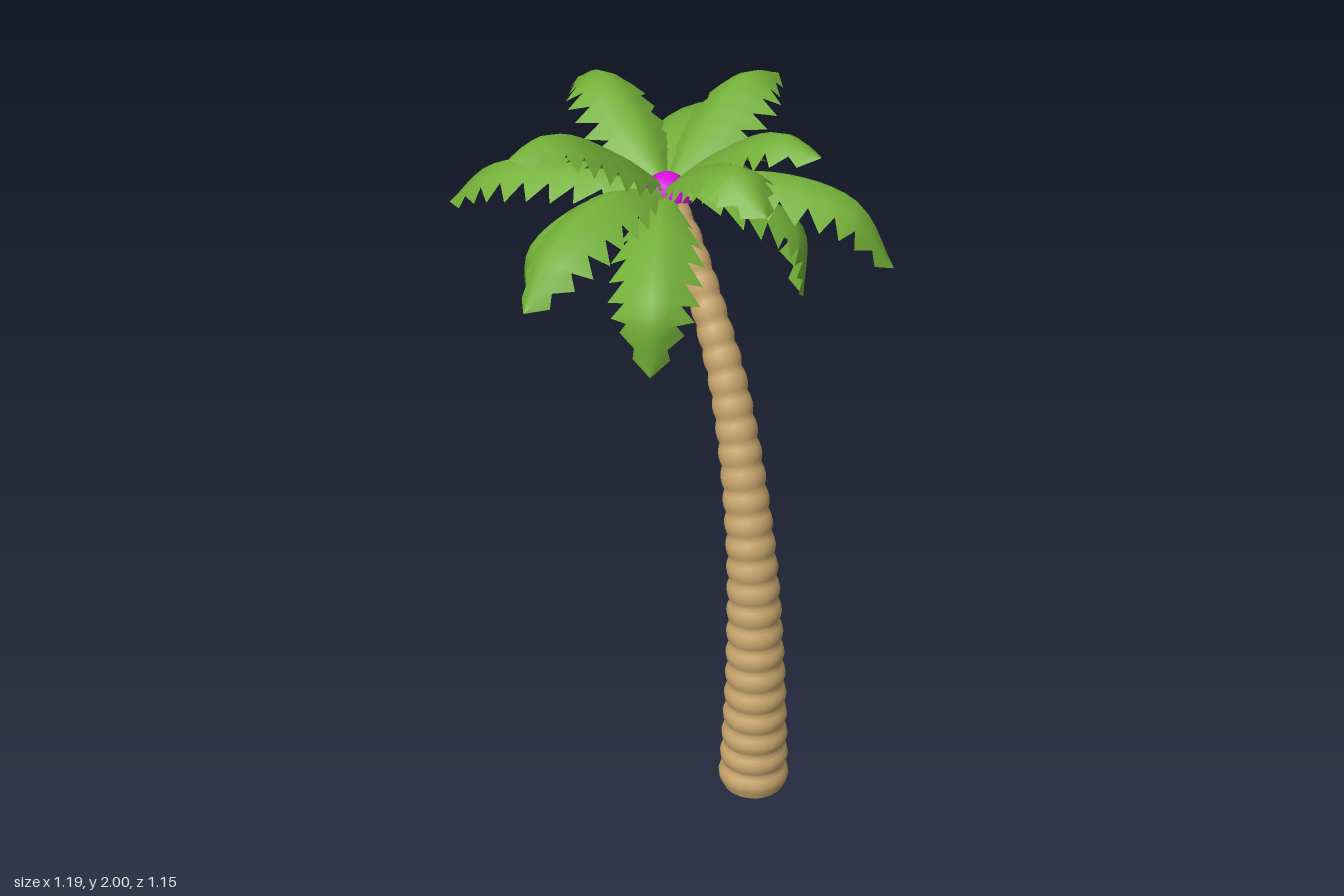
import * as THREE from 'three';
import { mergeVertices } from 'three/addons/utils/BufferGeometryUtils.js';

const V = (x, y, z) => new THREE.Vector3(x, y, z);
const CROWN = V(0.015, 1.73, -0.008);

// Leaning trunk: an open tapered tube swollen into stacked rings
function trunkGeometry() {
  const curve = new THREE.CatmullRomCurve3([
    V(0.489, 0, 0.14), V(0.469, 0.4, 0.12), V(0.42, 0.8, 0.096),
    V(0.313, 1.2, 0.06), V(0.225, 1.4, 0.04), V(0.11, 1.6, 0.015), V(0.035, 1.69, 0),
  ]);
  const rings = 26, steps = rings * 6, sides = 20;
  const geo = new THREE.TubeGeometry(curve, steps, 1, sides);
  const pos = geo.attributes.position, p = V(0, 0, 0);
  for (let i = 0; i <= steps; i++) {
    const t = i / steps, c = curve.getPointAt(t);
    const taper = 0.043 + 0.06 * Math.pow(1 - t, 1.35);
    const r = taper * (0.89 + 0.13 * Math.abs(Math.sin(Math.PI * rings * t)));
    for (let j = 0; j <= sides; j++) {
      const k = i * (sides + 1) + j;
      p.fromBufferAttribute(pos, k).sub(c).multiplyScalar(r).add(c);
      pos.setXYZ(k, p.x, i === 0 ? 0 : Math.max(0, p.y), p.z);
    }
  }
  geo.deleteAttribute('uv');
  geo.deleteAttribute('normal');
  const merged = mergeVertices(geo, 1e-5);
  merged.computeVertexNormals();
  return merged;
}

// Half width of a frond along its length
const WIDTHS = [[0, 0.025], [0.1, 0.045], [0.2, 0.09], [0.32, 0.115], [0.6, 0.112], [0.77, 0.095], [0.94, 0.048], [1, 0.003]];
function halfWidth(u) {
  const i = Math.max(1, WIDTHS.findIndex(([v]) => u <= v));
  const [a, wa] = WIDTHS[i - 1], [b, wb] = WIDTHS[i];
  return wa + (wb - wa) * (u - a) / (b - a);
}

// Arched frond with drooping sides and forward pointing teeth
function frondGeometry(tip, [r1, y1, r2, y2]) {
  const along = (r, y) => V(CROWN.x + (tip.x - CROWN.x) * r, y, CROWN.z + (tip.z - CROWN.z) * r);
  const curve = new THREE.CatmullRomCurve3([CROWN, along(r1, y1), along(r2, y2), tip]);
  const side = V(tip.z - CROWN.z, 0, CROWN.x - tip.x).normalize();
  const rows = 18, cols = [-1, -0.45, 0, 0.45, 1];
  const verts = [], index = [];
  for (let i = 0; i <= rows; i++) {
    const u = i / rows, c = curve.getPointAt(u), tangent = curve.getTangentAt(u);
    const up = V(0, 0, 0).crossVectors(tangent, side);
    const tooth = i % 2 === 1, w = halfWidth(u);
    for (const s of cols) {
      // Only the outer edge steps in and out
      const edge = Math.abs(s) === 1;
      const q = s * (edge ? (tooth ? 1.12 : 0.72) : 1), a = Math.abs(q);
      const p = c.clone().addScaledVector(side, q * w)
        .addScaledVector(up, -w * (0.25 * a + 0.35 * a * a))
        .addScaledVector(tangent, edge && tooth ? 0.024 * (1 - u * u) : 0);
      verts.push(p.x, p.y, p.z);
    }
  }
  const n = cols.length;
  for (let i = 0; i < rows; i++) {
    for (let j = 0; j < n - 1; j++) {
      const a = i * n + j, b = a + 1, d = a + n, e = d + 1;
      index.push(a, d, b, b, d, e);
    }
  }
  const geo = new THREE.BufferGeometry();
  geo.setAttribute('position', new THREE.Float32BufferAttribute(verts, 3));
  geo.setIndex(index);
  geo.computeVertexNormals();
  return geo;
}

export function createModel() {
  const bark = new THREE.MeshStandardMaterial({ color: 0xc6a36b, side: THREE.DoubleSide });
  bark.name = 'bark';
  const leaf = new THREE.MeshStandardMaterial({ color: 0x73af38, side: THREE.DoubleSide });
  leaf.name = 'leafGreen';
  const magenta = new THREE.MeshStandardMaterial({ color: 0xd80ee0 });
  magenta.name = 'magenta';

  const model = new THREE.Group();
  model.name = 'palmTree';
  const add = (name, geo, mat, parent = model) => {
    const mesh = new THREE.Mesh(geo, mat);
    mesh.name = name;
    parent.add(mesh);
    return mesh;
  };

  add('trunk', trunkGeometry(), bark);

  // Core where the fronds meet
  const core = add('crownCore', new THREE.SphereGeometry(0.068, 10, 8), magenta);
  core.position.set(0.015, 1.702, -0.008);

  // Arch shapes: radial fraction and height of two middle points
  const high = [0.33, 1.88, 0.72, 1.995];
  const mid = [0.35, 1.86, 0.72, 1.93];
  const droop = [0.53, 1.7, 0.98, 1.56];
  const fronds = [
    // Raised fronds
    [0.53, 1.965, -0.02, high], [-0.06, 1.965, 0.52, high],
    [0.5, 1.85, 0.16, mid], [-0.485, 1.86, -0.19, mid], [0.02, 1.92, -0.48, [0.35, 1.87, 0.72, 1.96]],
    // Spreading fronds
    [-0.3, 1.6, -0.575, [0.43, 1.82, 0.83, 1.75]], [-0.595, 1.58, 0.235, [0.42, 1.77, 0.8, 1.715]],
    [0.57, 1.55, -0.315, [0.42, 1.8, 0.83, 1.735]], [0.03, 1.575, 0.575, [0.42, 1.79, 0.8, 1.715]],
    // Hanging fronds
    [-0.25, 1.36, 0.28, droop], [0.275, 1.38, 0.355, droop], [0.245, 1.34, -0.34, droop],
  ];
  const crown = new THREE.Group();
  crown.name = 'crown';
  model.add(crown);
  fronds.forEach(([x, y, z, arch], i) => add('frond' + (i + 1), frondGeometry(V(x, y, z), arch), leaf, crown));
  return model;
}
